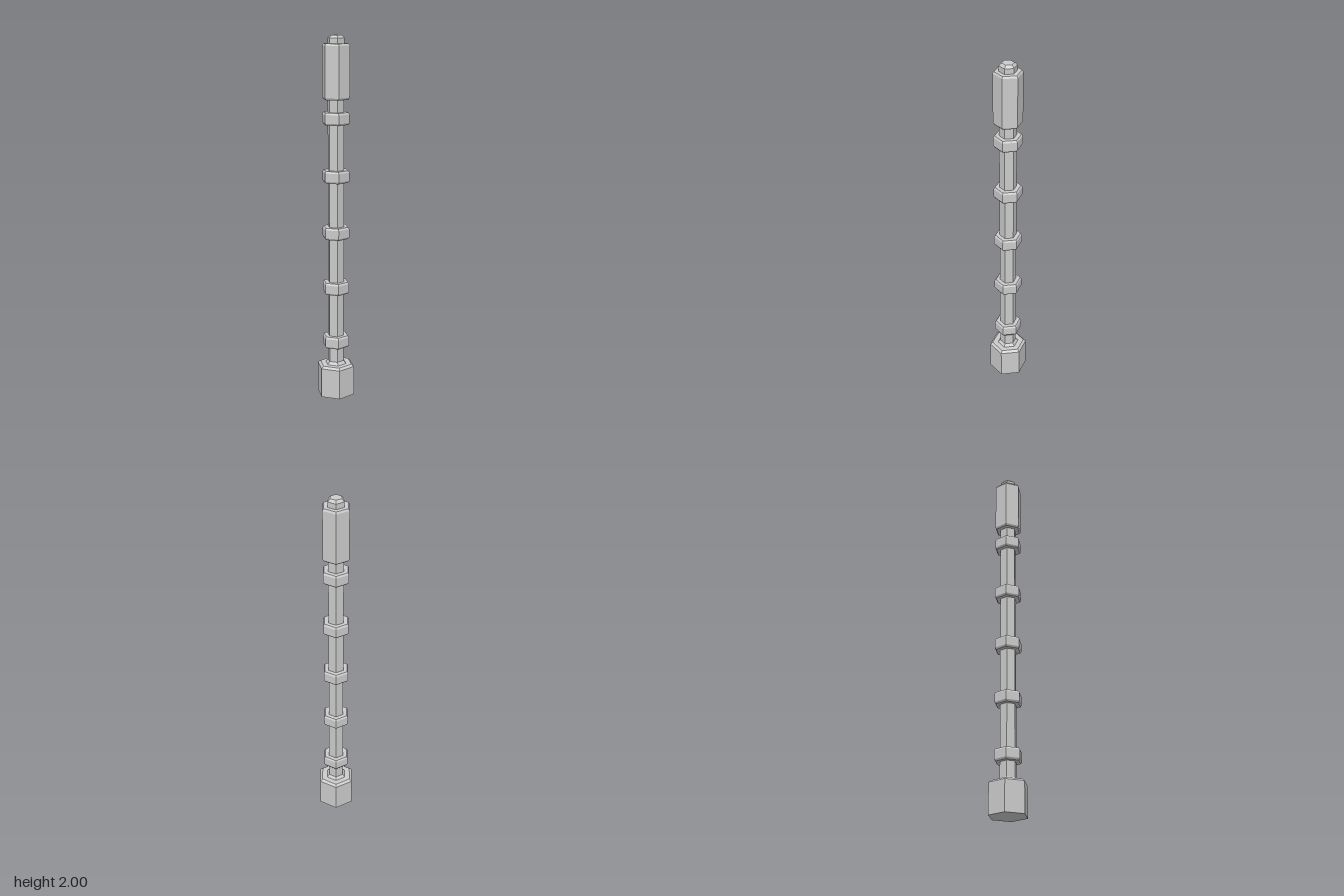
import * as THREE from 'three';

const material = new THREE.MeshStandardMaterial({ color: 0xcccccc, flatShading: true });

// Six-sided solid turned from [radius, height] points, with corners on the x axis
function hexPart(name, profile) {
  const points = profile.map(([r, y]) => new THREE.Vector2(r, y));
  const mesh = new THREE.Mesh(new THREE.LatheGeometry(points, 6, Math.PI / 2), material);
  mesh.name = name;
  return mesh;
}

// Hexagonal block with bevelled top and bottom rims
function bevelledHex(name, radius, bottom, top, inset, rise) {
  return hexPart(name, [
    [0, bottom], [radius - inset, bottom], [radius, bottom + rise],
    [radius, top - rise], [radius - inset, top], [0, top],
  ]);
}

export function createModel() {
  const group = new THREE.Group();
  group.name = 'segmentedRod';

  // Heavy foot with a bevelled shoulder
  group.add(hexPart('base', [[0, 0], [0.107, 0], [0.107, 0.168], [0.092, 0.18], [0, 0.18]]));

  // Shaft flaring slightly where it meets the foot
  group.add(hexPart('shaft', [[0.06, 0.18], [0.046, 0.196], [0.046, 1.67]]));

  // Evenly spaced collars
  for (let i = 0; i < 5; i++) {
    const y = 0.315 + i * 0.3125;
    group.add(bevelledHex('collar' + (i + 1), 0.077, y - 0.033, y + 0.033, 0.007, 0.01));
  }

  // Long head and its small end cap
  group.add(bevelledHex('head', 0.077, 1.665, 1.957, 0.007, 0.01));
  group.add(hexPart('tip', [[0.046, 1.95], [0.046, 1.986], [0.032, 2], [0, 2]]));

  return group;
}
